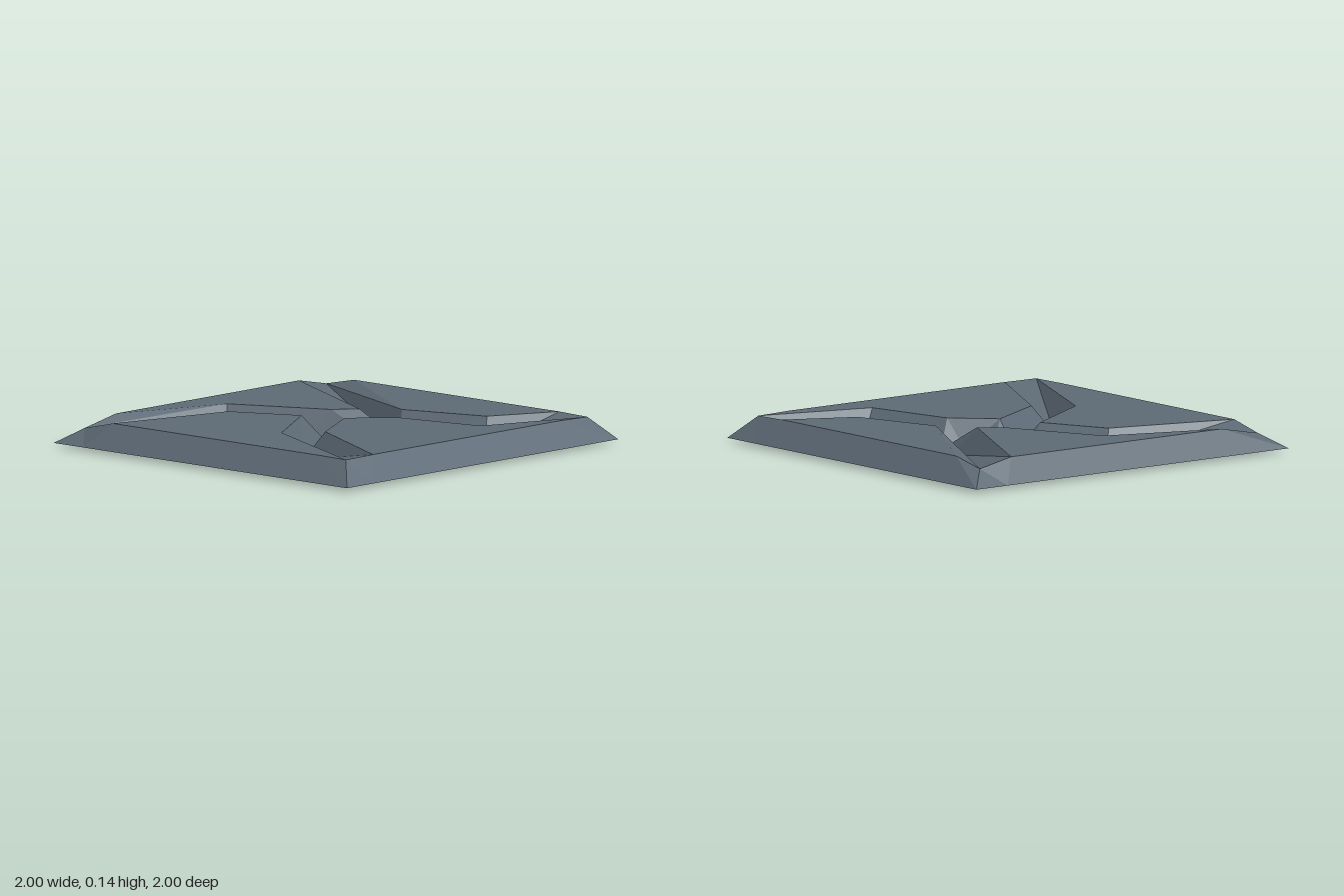
import * as THREE from 'three';

const TOP = 0.14, BASE = 0.02, IN = 0.89;

// Turns outlines of [x, y, z] points into an upward-facing, flat-shaded surface
function surface(name, faces, material) {
  const pos = [];
  for (const f of faces) {
    const flat = f.map(p => new THREE.Vector2(p[0], p[2]));
    const order = f.map((_, i) => i);
    if (THREE.ShapeUtils.isClockWise(flat)) { flat.reverse(); order.reverse(); }
    for (const t of THREE.ShapeUtils.triangulateShape(flat, [])) {
      let [a, b, c] = t.map(i => f[order[i]]);
      const ny = (b[2] - a[2]) * (c[0] - a[0]) - (b[0] - a[0]) * (c[2] - a[2]);
      if (ny < 0) [b, c] = [c, b];
      pos.push(...a, ...b, ...c);
    }
  }
  const geo = new THREE.BufferGeometry();
  geo.setAttribute('position', new THREE.Float32BufferAttribute(pos, 3));
  geo.computeVertexNormals();
  const mesh = new THREE.Mesh(geo, material);
  mesh.name = name;
  return mesh;
}

export function createModel() {
  const slate = new THREE.MeshStandardMaterial({ color: 0x5d6a75, side: THREE.DoubleSide });
  slate.name = 'slate';
  const group = new THREE.Group();
  group.name = 'crackedFloorPlate';
  const high = pts => pts.map(([x, z]) => [x, TOP, z]);
  const low = pts => pts.map(([x, z]) => [x, 0, z]);

  // Four level slabs; each outline runs from one rim end to the other
  const back = high([[-0.66, -IN], [-0.07, -0.68], [0.16, -0.18], [0.27, -0.09], [0.69, -IN]]);
  const left = high([[-IN, -0.7], [-0.23, -0.52], [-0.07, -0.17], [-0.52, 0.11], [-IN, 0.7]]);
  const front = high([[-0.69, IN], [-0.35, 0.25], [0.02, 0.04], [0.21, 0.225], [0.31, 0.7], [0.69, IN]]);
  const right = high([[IN, 0.7], [0.54, 0.53], [0.4, 0.08], [IN, -0.7]]);
  group.add(surface('backSlab', [back], slate), surface('sideSlabMinusX', [left], slate),
    surface('frontSlab', [front], slate), surface('sideSlabPlusX', [right], slate));

  // Crack corners at the rim
  const bl = [-IN, 0.095, -IN], br = [IN, 0.1, -IN], fl = [-IN, 0.138, IN], fr = [IN, 0.135, IN];
  // Deepest points of the cracks
  const [m1, e1, m2, e2, c1, c2, m4, e4, e3] = low([
    [-0.15, -0.6], [0.05, -0.23], [-0.44, 0.18], [0.05, -0.115],
    [0.14, -0.055], [0.21, 0.086], [0.43, 0.62], [0.31, 0.15], [0.36, -0.015]]);

  // Sloping walls of the four cracks
  group.add(surface('backCrackMinusX', [
    [back[0], bl, m1, back[1]], [back[1], m1, e1, back[2]],
    [left[0], bl, m1, left[1]], [left[1], m1, e1, left[2]]], slate));
  group.add(surface('frontCrackMinusX', [
    [left[4], fl, m2, left[3]], [left[3], m2, e2, left[2]],
    [front[0], fl, m2, front[1]], [front[1], m2, e2, front[2]]], slate));
  group.add(surface('backCrackPlusX', [
    [back[4], br, e3, back[3]], [right[3], br, e3, right[2]]], slate));
  group.add(surface('frontCrackPlusX', [
    [front[5], fr, m4, front[4]], [front[4], m4, e4, front[3]],
    [right[0], fr, m4, right[1]], [right[1], m4, e4, right[2]]], slate));

  // Walls where the cracks meet
  group.add(surface('crackJunction', [
    [left[2], e1, e2], [e1, back[2], c1, e2], [back[2], back[3], c2, c1],
    [back[3], e3, e4, c2], [e3, right[2], e4],
    [front[2], e2, c1], [front[2], c1, c2, front[3]], [front[3], c2, e4]], slate));

  // Bevelled rim: each side has a middle strip and two corner strips
  const edge = (name, inner, outer) => group.add(surface(name,
    [0, 1, 2].map(i => [inner[i], inner[i + 1], outer[i + 1], outer[i]]), slate));
  const steps = [-1, -0.8, 0.8, 1];
  const alongX = z => steps.map(x => [x, BASE, z]);
  const alongZ = x => steps.map(z => [x, BASE, z]);
  edge('backRim', [bl, back[0], back[4], br], alongX(-1));
  edge('frontRim', [fl, front[0], front[5], fr], alongX(1));
  edge('sideRimMinusX', [bl, left[0], left[4], fl], alongZ(-1));
  edge('sideRimPlusX', [br, right[3], right[0], fr], alongZ(1));

  return group;
}
